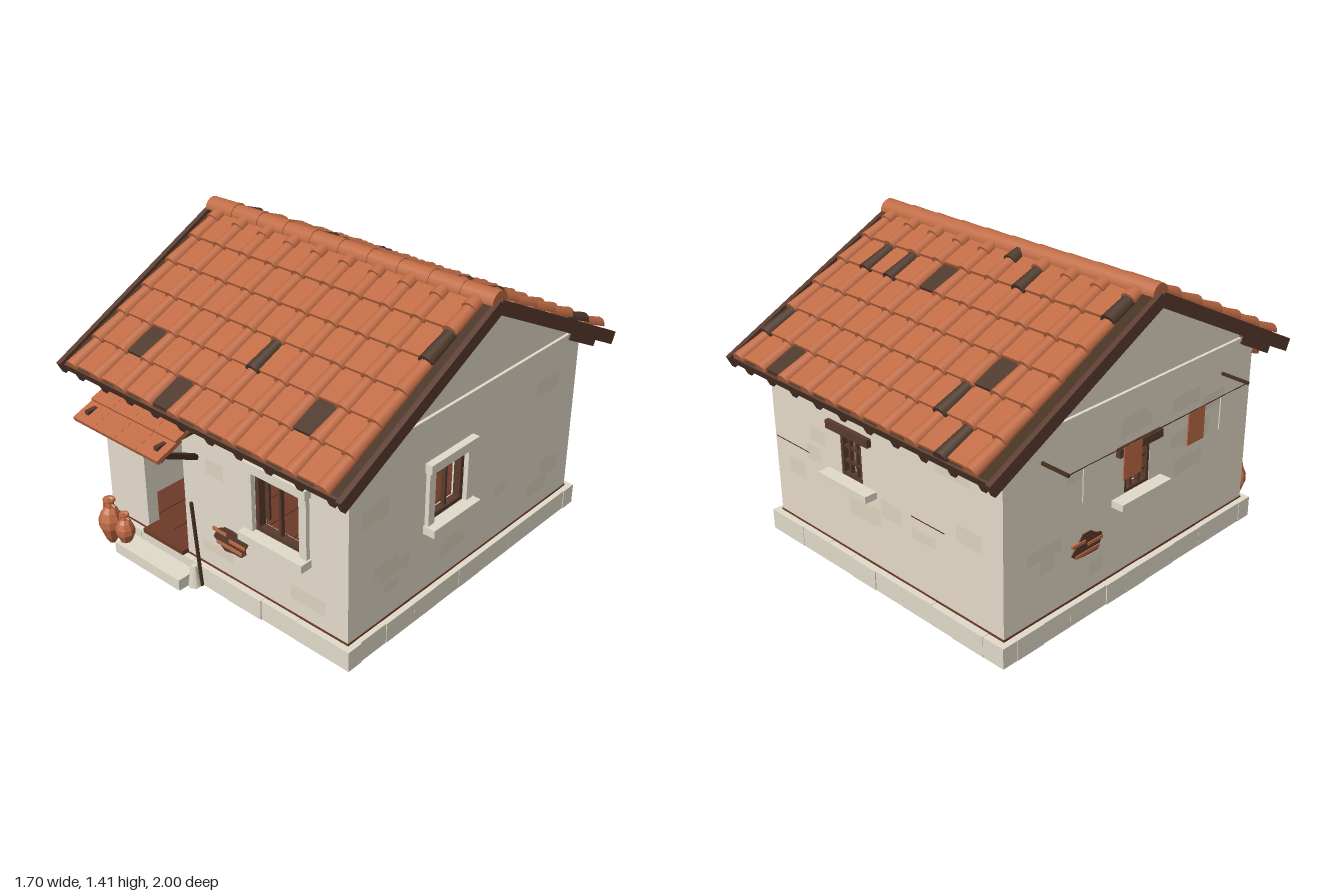
import * as THREE from 'three';

const mat = (name, color) => Object.assign(new THREE.MeshStandardMaterial({ color, side: THREE.DoubleSide }), { name });
const M = {
  plaster: mat('plaster', 0xe6dccb), patch: mat('plaster patch', 0xe0d4c1), stone: mat('stone', 0xe3dccb),
  tile: mat('terracotta', 0xc06c45), charred: mat('dark tile', 0x4e392c), wood: mat('wood', 0x5a3b2d),
  dark: mat('dark wood', 0x46301f), floor: mat('floor boards', 0x6e3b29), base: mat('foundation', 0x4a3029),
};
const CX = 0.02, CZ = -0.04, APEX = 1.36, ANGLE = Math.atan(0.507);

let seed = 7;
const rnd = () => (seed = (seed * 16807) % 2147483647) / 2147483647;

function add(parent, name, geo, m, x = 0, y = 0, z = 0) {
  const mesh = new THREE.Mesh(geo, m);
  mesh.name = name;
  mesh.position.set(x, y, z);
  parent.add(mesh);
  return mesh;
}
const box = (p, name, m, w, h, d, x, y, z) => add(p, name, new THREE.BoxGeometry(w, h, d), m, x, y, z);
function group(parent, name, x = 0, y = 0, z = 0, ry = 0) {
  const g = new THREE.Group();
  g.name = name;
  g.position.set(x, y, z);
  g.rotation.y = ry;
  parent.add(g);
  return g;
}
// Straight bar between two points
function bar(p, name, m, a, b, t) {
  const A = new THREE.Vector3(...a), B = new THREE.Vector3(...b);
  const mesh = box(p, name, m, t, t, A.distanceTo(B), 0, 0, 0);
  mesh.position.copy(A).lerp(B, 0.5);
  mesh.quaternion.setFromUnitVectors(new THREE.Vector3(0, 0, 1), B.sub(A).normalize());
  return mesh;
}

// Wall panel whose outer face is local z = 0; holes are [u, y0, w, h]
function wall(house, name, x, z, ry, outline, holes) {
  const g = group(house, name, x, 0, z, ry);
  const s = new THREE.Shape(outline.map(p => new THREE.Vector2(...p)));
  for (const [u, y, w, h] of holes) {
    s.holes.push(new THREE.Path([[u - w / 2, y], [u - w / 2, y + h], [u + w / 2, y + h], [u + w / 2, y]]
      .map(p => new THREE.Vector2(...p))));
  }
  add(g, name + 'Panel', new THREE.ExtrudeGeometry(s, { depth: 0.06, bevelEnabled: false }), M.plaster, 0, 0, -0.06);
  // Subtle plaster repairs, kept clear of the openings
  const half = outline[1][0];
  for (let i = 0; i < 12; i++) {
    const w = 0.08 + rnd() * 0.12, h = 0.04 + rnd() * 0.05;
    const u = (rnd() * 2 - 1) * (half - 0.12), y = 0.2 + rnd() * 0.6;
    if (holes.some(o => Math.abs(u - o[0]) < (w + o[2]) / 2 + 0.07 && y > o[1] - 0.1 && y < o[1] + o[3] + 0.1)) continue;
    add(g, 'plasterRepair', new THREE.PlaneGeometry(w, h), M.patch, u, y, 0.001 + i * 0.0001);
  }
  return g;
}

// Timber frame and bars set in an opening
function sash(g, [u, y, w, h], nx, ny, t = 0.02) {
  const cy = y + h / 2, z = -0.02;
  for (const s of [-1, 1]) {
    box(g, 'windowStile', M.wood, t, h, 0.035, u + s * (w - t) / 2, cy, z);
    box(g, 'windowRail', M.wood, w, t, 0.035, u, cy + s * (h - t) / 2, z);
  }
  for (let i = 1; i <= nx; i++) box(g, 'mullion', M.wood, 0.013, h, 0.02, u - w / 2 + w * i / (nx + 1), cy, z);
  for (let i = 1; i <= ny; i++) box(g, 'crossBar', M.wood, w, 0.013, 0.018, u, y + h * i / (ny + 1), z);
}
function stoneWindow(g, o) {
  const [u, y, w, h] = o, W = w + 0.1;
  sash(g, o, 1, 0);
  box(g, 'lintel', M.stone, W, 0.043, 0.06, u, y + h + 0.025, 0.005);
  box(g, 'sill', M.stone, W, 0.038, 0.09, u, y - 0.02, 0.015);
  for (const s of [-1, 1]) box(g, 'jamb', M.stone, 0.04, h, 0.04, u + s * (w / 2 + 0.021), y + h / 2, 0);
  box(g, 'openShutter', M.wood, 0.025, h * 0.7, 0.012, u - w / 2 + 0.028, y + h * 0.5, -0.045);
}
function smallWindow(g, o) {
  const [u, y, w, h] = o;
  sash(g, o, 2, 2, 0.015);
  box(g, 'timberLintel', M.wood, 0.28, 0.038, 0.05, u, y + h + 0.019, -0.003);
  box(g, 'sill', M.stone, 0.32, 0.032, 0.09, u, y - 0.016, 0.017);
}
// Fallen plaster, with some bricks showing
function brickPatch(g, u, y, w, h, bricks) {
  const pts = [];
  for (let i = 0; i < 13; i++) {
    const a = i / 13 * Math.PI * 2, r = 0.38 + 0.18 * rnd();
    pts.push(new THREE.Vector2(Math.cos(a) * w * r, Math.sin(a) * h * r));
  }
  add(g, 'bareWall', new THREE.ExtrudeGeometry(new THREE.Shape(pts), { depth: 0.005, bevelEnabled: false }), M.wood, u, y, 0);
  bricks.forEach(([a, b, c]) => box(g, 'brick', M.tile, w * c, h * 0.12, 0.014, u + a * w, y + b * h, 0.003));
}

// Tapered half-round tile lying along z, wide end at +z
function halfRound(r0, r1, len) {
  return new THREE.CylinderGeometry(r0, r1, len, 8, 1, false, Math.PI / 2, Math.PI).rotateX(Math.PI / 2);
}
function roofSlope(house, s, darkPans, darkCovers) {
  const g = group(group(house, s > 0 ? 'frontRoof' : 'backRoof', CX, APEX, CZ, s > 0 ? 0 : Math.PI), 'slope');
  g.rotation.x = ANGLE;
  box(g, 'roofDeck', M.dark, 1.6, 0.035, 1.03, 0, -0.0175, 0.515);
  box(g, 'eaveBoard', M.wood, 1.6, 0.045, 0.02, 0, -0.024, 1.03);
  for (const e of [-1, 1]) box(g, 'bargeBoard', M.wood, 0.025, 0.06, 1.055, e * 0.813, -0.016, 0.5275);
  for (let i = 0; i < 10; i++) box(g, 'rafterTail', M.wood, 0.028, 0.05, 0.25, s * (-0.735 + i * 0.1635), -0.056, 0.915);
  const step = 0.1645, cover = halfRound(0.036, 0.029, 0.19), pan = new THREE.BoxGeometry(0.158, 0.014, 0.185);
  for (let r = 0; r < 7; r++) {
    const last = r === 6, end = 1.03 - r * step;
    for (let c = 0; c < 10; c++) {
      const x = s * (-0.72 + c * 0.1613), key = c + ',' + r;
      if (c < 9 && !last) {
        const p = add(g, 'panTile', pan, darkPans.includes(key) ? M.charred : M.tile, x + s * 0.0807, 0.018, end - 0.09);
        p.rotation.x = -0.085;
      }
      const k = add(g, 'coverTile', cover, darkCovers.includes(key) ? M.charred : M.tile, x, 0.014, end - 0.08);
      k.rotation.x = -0.07;
      if (last) k.scale.z = 0.5, k.position.z = end;
    }
  }
}

function jar(p, name, m, h, r, x, y, z) {
  const g = group(p, name, x, y, z);
  const prof = [[0, 0], [0.25, 0], [0.62, 0.15], [1, 0.4], [0.98, 0.56], [0.72, 0.72], [0.4, 0.82], [0.36, 0.93], [0.52, 0.96], [0.52, 1], [0.3, 1]];
  const geo = new THREE.LatheGeometry(prof.map(([a, b]) => new THREE.Vector2(a * r, b * h)), 8).toNonIndexed();
  geo.computeVertexNormals();
  add(g, 'jarBody', geo, m);
  for (const s of [-1, 1]) {
    bar(g, 'jarHandle', m, [s * r * 0.38, h * 0.9, 0], [s * r * 0.66, h * 0.86, 0], r * 0.14);
    bar(g, 'jarHandle', m, [s * r * 0.66, h * 0.87, 0], [s * r * 0.74, h * 0.7, 0], r * 0.14);
  }
}

// Hollow plinth block, open underneath
function plinthBlock(w, h, d) {
  const geo = new THREE.BoxGeometry(w, h, d);
  geo.setIndex([...geo.index.array].filter((_, i) => i < 18 || i >= 24));
  return geo;
}
function plinthRow(house, len, x, z, ry) {
  const g = group(house, 'plinth', x, 0, z, ry);
  for (let u = -len / 2; u < len / 2 - 0.01;) {
    let w = 0.12 + rnd() * 0.12;
    if (len / 2 - u - w < 0.1) w = len / 2 - u;
    add(g, 'plinthStone', plinthBlock(w - 0.001, 0.096 + rnd() * 0.004, 0.08), M.stone, u + w / 2, 0.049, -0.04 - rnd() * 0.006);
    u += w;
  }
}

export function createModel() {
  const house = new THREE.Group();
  house.name = 'cottage';

  // Foundation, floor and stone plinth
  box(house, 'foundation', M.base, 1.37, 0.085, 1.49, CX, 0.0475, CZ);
  box(house, 'floor', M.floor, 1.466, 0.017, 1.586, CX, 0.098, CZ);
  for (let i = 0; i < 9; i++) box(house, 'floorBoard', M.floor, 0.14, 0.006, 1.45, CX - 0.6 + i * 0.15, 0.108, CZ);
  plinthRow(house, 1.525, CX, 0.785, 0);
  plinthRow(house, 1.525, CX, -0.868, Math.PI);
  plinthRow(house, 1.49, 0.783, CZ, Math.PI / 2);
  plinthRow(house, 1.49, -0.745, CZ, -Math.PI / 2);

  // Walls
  const long = [[-0.73, 0.1], [0.73, 0.1], [0.73, 0.915], [-0.73, 0.915]];
  const gable = [[-0.788, 0.1], [0.788, 0.1], [0.788, 0.918], [0, 1.318], [-0.788, 0.918]];
  const door = [-0.343, 0.108, 0.265, 0.72], wf = [0.355, 0.425, 0.26, 0.29];
  const wr = [-0.165, 0.437, 0.22, 0.255], wl = [0, 0.475, 0.16, 0.195], wb = [-0.18, 0.473, 0.14, 0.205];
  const front = wall(house, 'frontWall', CX, 0.75, 0, long, [door, wf]);
  const back = wall(house, 'backWall', CX, -0.83, Math.PI, long, [wb]);
  const left = wall(house, 'leftWall', 0.75, CZ, Math.PI / 2, gable, [wr]);
  const right = wall(house, 'rightWall', -0.71, CZ, -Math.PI / 2, gable, [wl]);
  for (const g of [left, right]) box(g, 'gableBand', M.plaster, 1.58, 0.038, 0.024, 0, 0.936, 0.002);
  stoneWindow(front, wf);
  stoneWindow(left, wr);
  smallWindow(right, wl);
  smallWindow(back, wb);
  const bricks = [[-0.32, 0.22, 0.4], [0.18, 0.04, 0.45], [-0.05, -0.25, 0.72]];
  brickPatch(front, 0.075, 0.29, 0.21, 0.125, bricks);
  brickPatch(front, -0.66, 0.76, 0.12, 0.07, []);
  brickPatch(right, -0.3, 0.33, 0.2, 0.12, bricks);
  // Hairline cracks on the back
  [[-0.6, 0.49, 0.24], [-0.18, 0.42, 0.14], [0.3, 0.45, 0.2]].forEach(([u, y, w]) =>
    box(back, 'crack', M.wood, w, 0.004, 0.002, u, y, 0.001));

  // Roof
  roofSlope(house, 1, ['1,1', '3,0', '7,1'], ['9,4', '5,2']);
  roofSlope(house, -1, ['7,0', '1,2', '5,4'], ['1,0', '2,1', '9,1', '0,5', '3,5', '7,4', '8,4', '4,6']);
  for (let i = 0; i < 10; i++) {
    const r = add(house, 'ridgeTile', halfRound(0.051, 0.047, 0.17), M.tile, -0.704 + i * 0.1615, APEX, CZ);
    r.rotation.y = Math.PI / 2;
  }

  // Tiled awning on timber brackets
  const awning = group(house, 'awning', -0.32, 0.834, 0.765);
  awning.rotation.x = Math.atan2(0.1, 0.23);
  for (let r = 0; r < 2; r++) for (let c = 0; c < 4; c++) {
    const t = box(awning, 'awningTile', M.tile, 0.134, 0.02, 0.14, -0.2025 + c * 0.135, 0.004 - r * 0.004, 0.07 + r * 0.113);
    t.rotation.x = -0.06;
  }
  box(awning, 'awningBatten', M.wood, 0.18, 0.012, 0.03, 0.17, -0.015, 0.22);
  for (const x of [-0.54, -0.1]) {
    bar(house, 'awningBeam', M.wood, [x, 0.768, 0.74], [x, 0.768, 0.965], 0.022);
    bar(house, 'awningBrace', M.dark, [x, 0.635, 0.75], [x, 0.73, 0.945], 0.023);
  }

  // Doorstep, corner stone, leaning staff and jars
  box(house, 'doorstep', M.stone, 0.43, 0.055, 0.1, -0.32, 0.037, 0.84);
  box(house, 'threshold', M.floor, 0.265, 0.022, 0.09, -0.323, 0.112, 0.74);
  add(house, 'cornerStone', new THREE.CylinderGeometry(0.014, 0.032, 0.105, 6), M.stone, -0.08, 0.068, 0.82);
  bar(house, 'staff', M.dark, [-0.05, 0.02, 0.805], [-0.097, 0.43, 0.798], 0.012);
  jar(house, 'largeJar', M.tile, 0.235, 0.057, -0.605, 0.015, 0.85);
  jar(house, 'smallJar', M.tile, 0.17, 0.045, -0.51, 0.04, 0.845);

  // Washing line on the side wall
  const line = group(house, 'washingLine');
  for (const z of [-0.62, 0.53]) bar(line, 'linePole', M.dark, [-0.69, 0.815, z], [-0.85, 0.812, z], 0.012);
  bar(line, 'cord', M.dark, [-0.845, 0.812, -0.62], [-0.845, 0.812, 0.53], 0.003);
  [[-0.48, M.plaster], [-0.24, M.tile], [0.17, M.tile], [0.39, M.plaster]].forEach(([z, m]) =>
    box(line, 'cloth', m, 0.005, 0.15, 0.11, -0.845, 0.735, z));

  // Simple furnishings
  box(house, 'bench', M.plaster, 0.2, 0.135, 0.3, -0.46, 0.175, -0.3);
  box(house, 'bundle', M.wood, 0.05, 0.07, 0.06, -0.445, 0.28, -0.3);
  box(house, 'bundleTie', M.tile, 0.03, 0.025, 0.064, -0.43, 0.27, -0.3);
  box(house, 'shelf', M.wood, 0.1, 0.014, 0.13, -0.6, 0.535, 0.09);
  jar(house, 'shelfJar', M.plaster, 0.055, 0.024, -0.6, 0.542, 0.08);
  return house;
}
